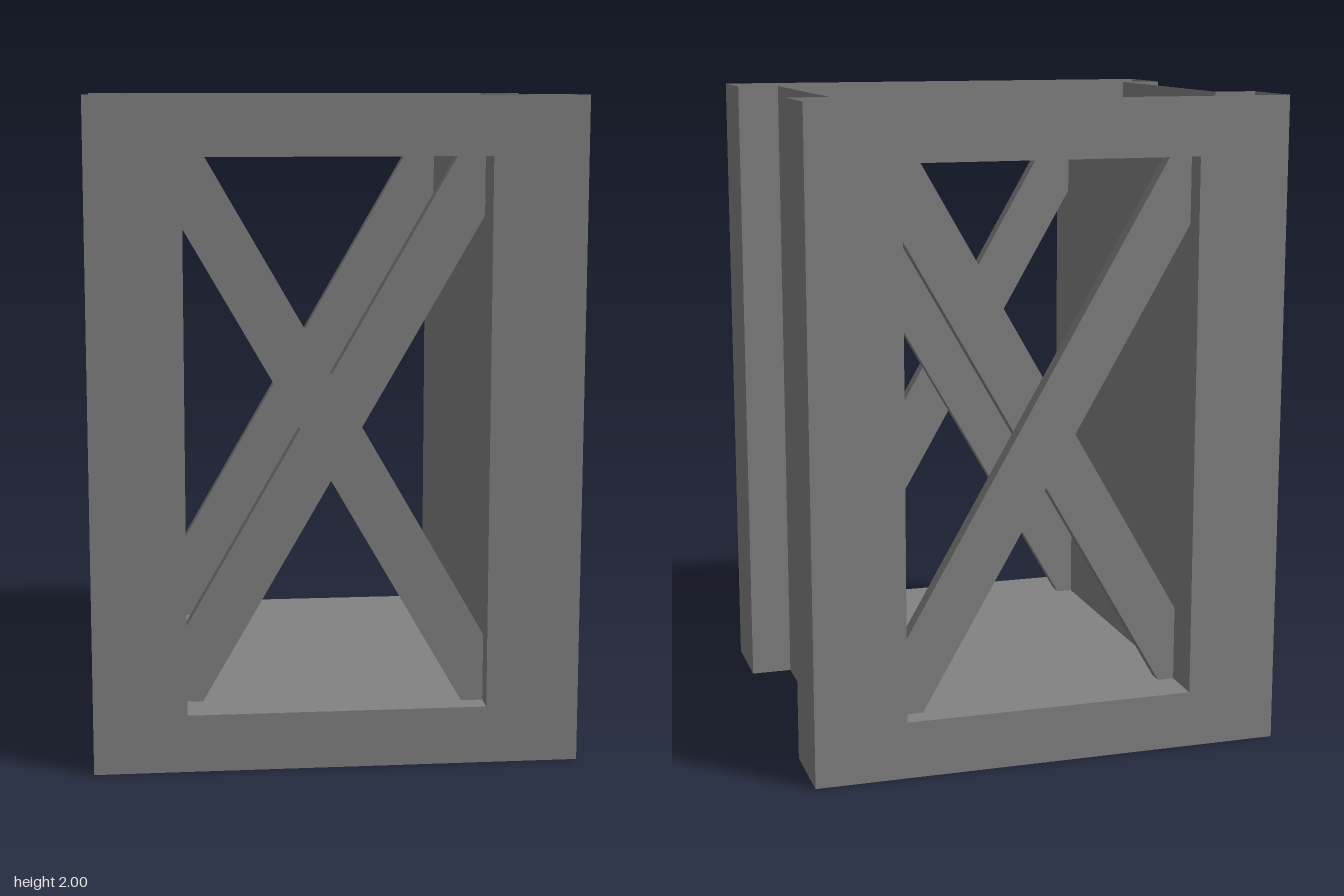
import * as THREE from 'three';

const material = new THREE.MeshStandardMaterial({ color: 0x828282, side: THREE.DoubleSide });

const HALF_W = 0.73, HALF_D = 0.65, HEIGHT = 2;
const WIN_X = 0.45, WIN_LOW = 0.175, WIN_HIGH = 1.825;

function add(parent, name, geometry) {
  const mesh = new THREE.Mesh(geometry, material);
  mesh.name = name;
  parent.add(mesh);
  return mesh;
}

// Thin sheet: sweeps a polyline of [a, b] points along a third axis
function sheet(points, from, to, place) {
  const pos = [];
  for (let i = 0; i < points.length - 1; i++) {
    const [p, q] = [points[i], points[i + 1]];
    const a = place(p, from), b = place(q, from), c = place(q, to), d = place(p, to);
    pos.push(...a, ...b, ...c, ...a, ...c, ...d);
  }
  const geometry = new THREE.BufferGeometry();
  geometry.setAttribute('position', new THREE.Float32BufferAttribute(pos, 3));
  geometry.computeVertexNormals();
  return geometry;
}

const upright = ([x, z], y) => [x, y, z];
const lengthwise = ([x, y], z) => [x, y, z];

// Flat end panel with a rectangular window
function panelGeometry() {
  const rect = (Type, x, y0, y1) => new Type([
    new THREE.Vector2(-x, y0), new THREE.Vector2(x, y0),
    new THREE.Vector2(x, y1), new THREE.Vector2(-x, y1),
  ]);
  const shape = rect(THREE.Shape, HALF_W, 0, HEIGHT);
  shape.holes.push(rect(THREE.Path, WIN_X, WIN_LOW, WIN_HIGH));
  return new THREE.ShapeGeometry(shape);
}

// Rectangular tube, open at both ends
function braceGeometry() {
  const x = 0.08, z = 0.025;
  return sheet([[-x, -z], [-x, z], [x, z], [x, -z], [-x, -z]], -0.95, 0.95, upright);
}

export function createModel() {
  const model = new THREE.Group();
  model.name = 'bracedFrame';

  // Folded side walls, open at top and bottom, with a recess between flanges
  const leftFold = [[0.73, 0.65], [0.73, 0.4], [0.6, 0.4], [0.6, -0.4], [0.73, -0.4], [0.73, -0.65]];
  const rightFold = leftFold.map(([x, z]) => [-x, z]).reverse();
  add(model, 'leftWall', sheet(leftFold, 0, HEIGHT, upright));
  add(model, 'rightWall', sheet(rightFold, 0, HEIGHT, upright));

  // Inner tunnel joining the two windows
  const tunnel = [[-WIN_X, WIN_LOW], [WIN_X, WIN_LOW], [WIN_X, WIN_HIGH], [-WIN_X, WIN_HIGH], [-WIN_X, WIN_LOW]];
  add(model, 'tunnel', sheet(tunnel, HALF_D, -HALF_D, lengthwise));

  for (const side of [1, -1]) {
    const label = side > 0 ? 'front' : 'back';

    // End panel
    const panel = add(model, label + 'Panel', panelGeometry());
    panel.position.z = side * HALF_D;
    if (side < 0) panel.rotation.y = Math.PI;

    // Crossed braces, one behind the other, running through the tunnel walls
    const outer = add(model, label + 'OuterBrace', braceGeometry());
    outer.position.set(0, 1, side * 0.557);
    outer.rotation.z = Math.PI / 6;
    const inner = add(model, label + 'InnerBrace', braceGeometry());
    inner.position.set(-0.015, 1, side * 0.492);
    inner.rotation.z = -Math.PI / 6;
  }
  return model;
}
